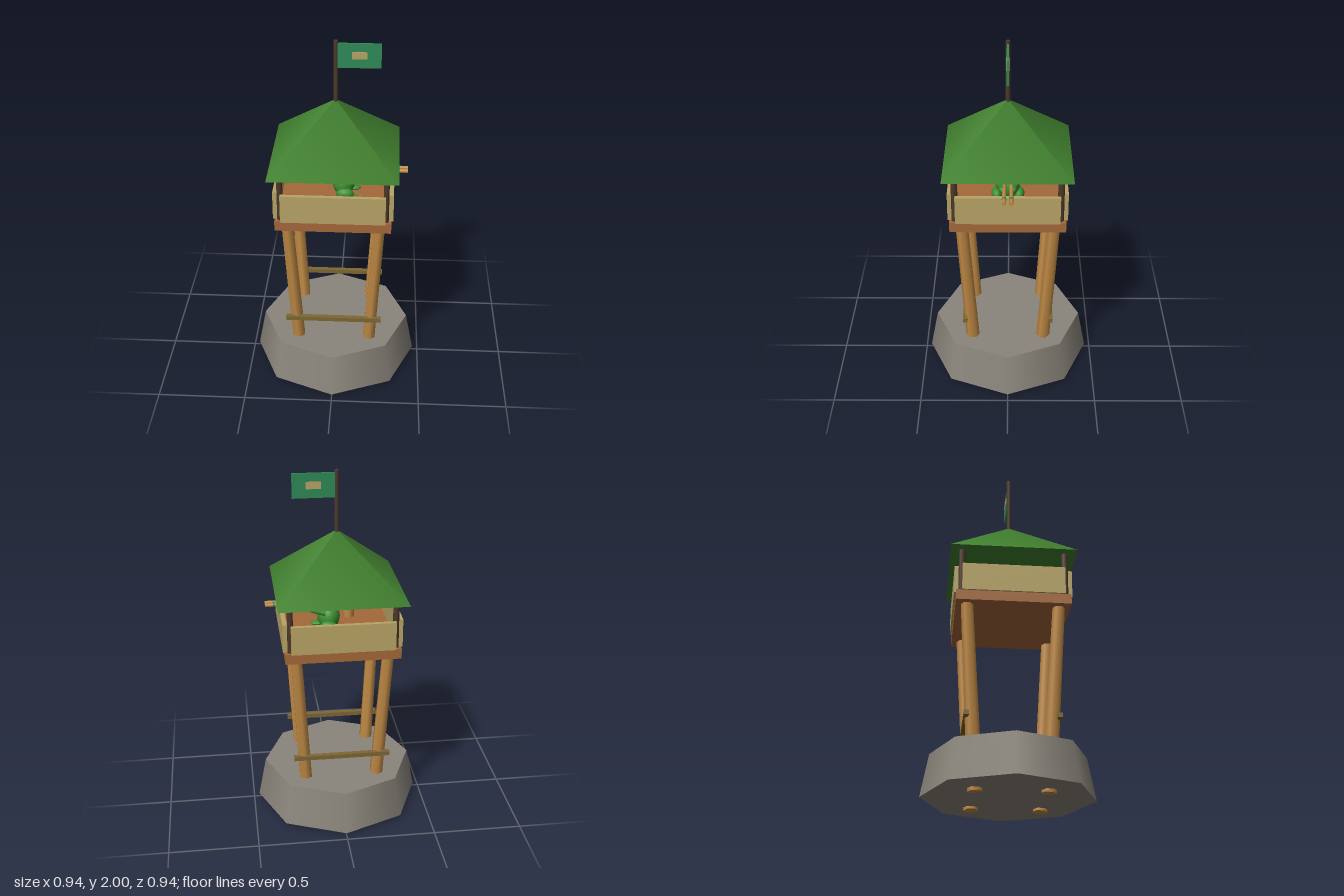
import * as THREE from 'three';

const paint = (name, color) => Object.assign(new THREE.MeshStandardMaterial({ color }), { name });

export function createModel() {
  const stone = paint('stone', 0x8b867c), log = paint('log', 0xc08a45), panel = paint('panel', 0xb8a566);
  const plank = paint('plank', 0xa5693a), thatch = paint('roofGreen', 0x41802f), dark = paint('darkWood', 0x4e3a2c);
  const cloth = paint('flagGreen', 0x2e8b57), skin = paint('frogGreen', 0x3d8f33);
  const eyeGrey = paint('eyeGrey', 0xb5b5ad), brace = paint('braceWood', 0x7d6733);

  const model = new THREE.Group();
  model.name = 'watchtower';
  const add = (parent, name, geometry, material, x = 0, y = 0, z = 0) => {
    const mesh = new THREE.Mesh(geometry, material);
    mesh.name = name;
    mesh.position.set(x, y, z);
    parent.add(mesh);
    return mesh;
  };
  const box = (parent, name, size, material, ...at) => add(parent, name, new THREE.BoxGeometry(...size), material, ...at);
  const ball = (parent, name, r, scale, material, ...at) => {
    const mesh = add(parent, name, new THREE.SphereGeometry(r, 14, 10), material, ...at);
    mesh.scale.set(...scale);
    return mesh;
  };
  // Round bar running from point a to point b
  const bar = (parent, name, a, b, ra, rb, sides, material) => {
    const from = new THREE.Vector3(...a), to = new THREE.Vector3(...b);
    const dir = to.clone().sub(from);
    const mesh = add(parent, name, new THREE.CylinderGeometry(rb, ra, dir.length(), sides), material);
    mesh.position.copy(from).add(to).multiplyScalar(0.5);
    mesh.quaternion.setFromUnitVectors(new THREE.Vector3(0, 1, 0), dir.normalize());
    return mesh;
  };

  // Stone footing
  add(model, 'stoneBase', new THREE.CylinderGeometry(0.425, 0.47, 0.235, 8), stone, 0, 0.1375, 0);

  // Splayed legs and roof posts at each corner
  for (const sx of [-1, 1]) for (const sz of [-1, 1]) {
    bar(model, 'leg', [sx * 0.19, 0.004, sz * 0.19], [sx * 0.252, 1.04, sz * 0.252], 0.04, 0.034, 6, log);
    bar(model, 'roofPost', [sx * 0.285, 1.08, sz * 0.285], [sx * 0.285, 1.36, sz * 0.285], 0.0175, 0.0175, 6, dark);
  }

  // Cross braces, platform and parapet
  for (const s of [-1, 1]) {
    box(model, 'crossBrace', [0.545, 0.025, 0.027], brace, 0, 0.4, s * 0.245);
    box(model, 'parapetLong', [0.565, 0.16, 0.024], panel, 0, 1.165, s * 0.313);
    box(model, 'parapetSide', [0.024, 0.16, 0.565], panel, s * 0.313, 1.165, 0);
  }
  box(model, 'platform', [0.63, 0.058, 0.63], plank, 0, 1.057, 0);

  // Pyramid roof
  add(model, 'roof', new THREE.ConeGeometry(0.495, 0.325, 4), thatch, 0, 1.5075, 0).rotation.y = Math.PI / 4;

  // Flag
  bar(model, 'flagPole', [0, 1.6, 0], [0, 2, 0], 0.0125, 0.0125, 8, dark);
  box(model, 'flag', [0.23, 0.135, 0.012], cloth, 0.125, 1.918, 0);
  box(model, 'flagPatch', [0.08, 0.04, 0.018], panel, 0.125, 1.92, 0);

  // Frog lookout, facing +x
  const frog = new THREE.Group();
  frog.name = 'frogLookout';
  model.add(frog);
  ball(frog, 'body', 0.07, [0.9, 1.05, 1], skin, 0.045, 1.165, 0);
  ball(frog, 'head', 0.067, [1, 0.9, 1], skin, 0.078, 1.283, 0);
  for (const s of [-1, 1]) {
    ball(frog, 'eyeSocket', 0.026, [1, 1, 1], skin, 0.116, 1.312, s * 0.047);
    ball(frog, 'eye', 0.021, [1, 1, 1], eyeGrey, 0.13, 1.313, s * 0.054);
    ball(frog, 'pupil', 0.011, [1, 1, 1], dark, 0.144, 1.315, s * 0.058);
    bar(frog, 'arm', [0.07, 1.205, s * 0.055], [0.23, 1.245, s * 0.03], 0.017, 0.014, 8, skin);
    ball(frog, 'hand', 0.02, [1, 0.9, 1], skin, 0.235, 1.247, s * 0.027);
    ball(frog, 'thigh', 0.038, [1.3, 0.9, 0.8], skin, 0.055, 1.125, s * 0.062);
    ball(frog, 'foot', 0.026, [1.6, 0.5, 1], skin, 0.1, 1.1, s * 0.06);
    // Twin bamboo barrels
    bar(frog, 'barrel', [0.16, 1.254, s * 0.019], [0.4, 1.254, s * 0.019], 0.011, 0.011, 8, log);
    bar(frog, 'barrelBand', [0.345, 1.254, s * 0.019], [0.357, 1.254, s * 0.019], 0.0125, 0.0125, 8, cloth);
  }
  box(frog, 'launcherGrip', [0.035, 0.04, 0.03], cloth, 0.155, 1.268, 0);

  // Quiver and darts on its back
  bar(frog, 'quiver', [-0.067, 1.16, 0], [-0.067, 1.305, 0], 0.03, 0.03, 8, log);
  bar(frog, 'quiverStrap', [-0.05, 1.25, 0], [0.03, 1.25, 0], 0.009, 0.009, 6, dark);
  for (const [x, z] of [[-0.08, 0.008], [-0.066, -0.01], [-0.054, 0.008]])
    bar(frog, 'dart', [x, 1.29, z], [x, 1.37, z], 0.003, 0.003, 6, dark);

  return model;
}
